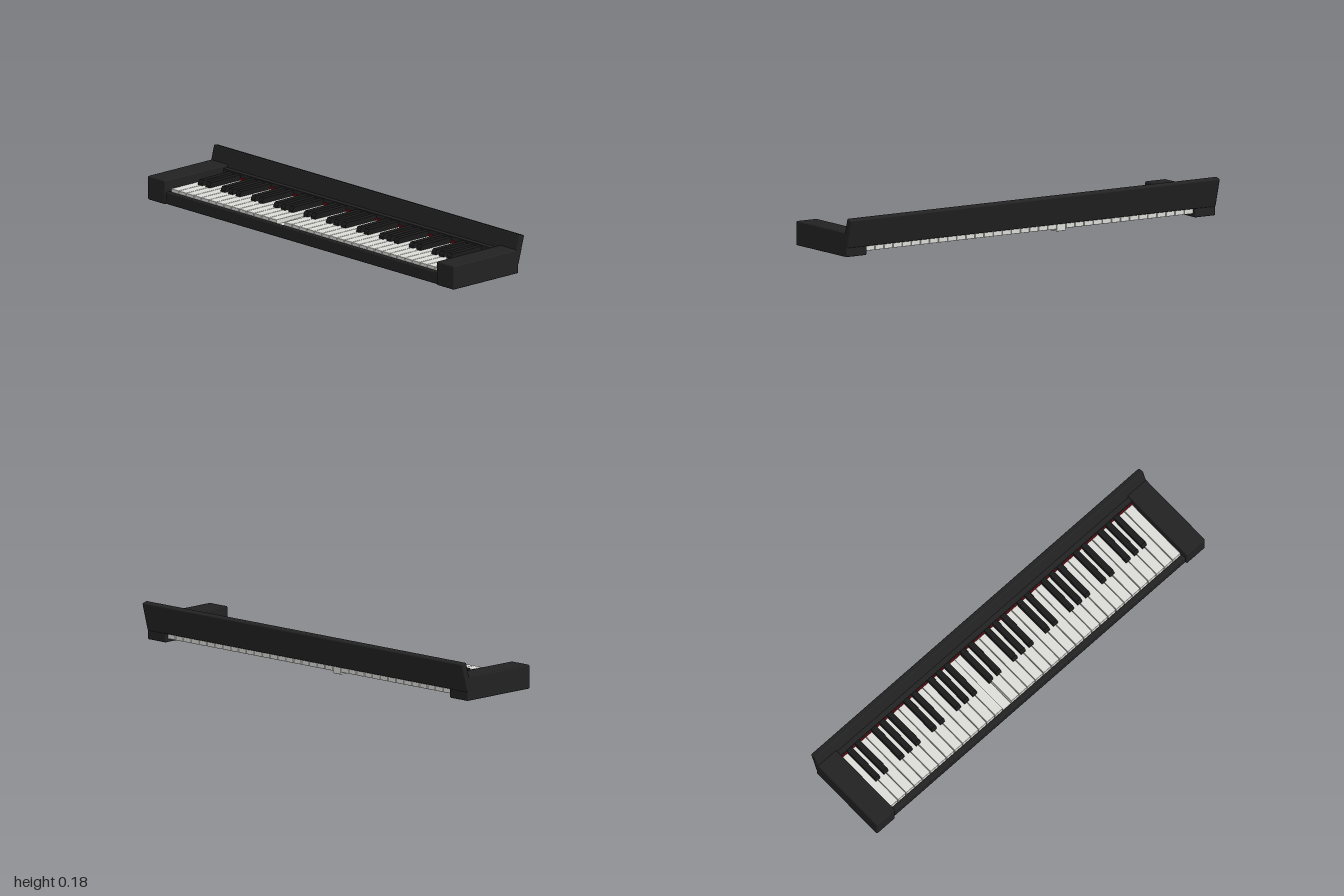
import * as THREE from 'three';
import { RoundedBoxGeometry } from 'three/addons/geometries/RoundedBoxGeometry.js';

const caseBlack = new THREE.MeshStandardMaterial({ name: 'case black', color: 0x222222 });
const keyBlack = new THREE.MeshStandardMaterial({ name: 'key black', color: 0x1a1a1a });
const keyWhite = new THREE.MeshStandardMaterial({ name: 'key white', color: 0xdcdcd8 });
const feltRed = new THREE.MeshStandardMaterial({ name: 'felt red', color: 0x7a0f18 });

// Rounded box given by its minimum and maximum corners
function block(parent, name, material, min, max, radius) {
  const size = max.map((v, i) => v - min[i]);
  const mesh = new THREE.Mesh(new RoundedBoxGeometry(...size, 2, radius), material);
  mesh.position.set(...max.map((v, i) => (v + min[i]) / 2));
  mesh.name = name;
  parent.add(mesh);
  return mesh;
}

// Black key: side profile with a sloping front, extruded across its width
function blackKeyGeometry() {
  const bevel = 0.002, width = 0.028;
  const profile = new THREE.Shape([
    [0.14, 0.062], [-0.048, 0.062], [-0.046, 0.082], [-0.038, 0.092], [0.14, 0.094],
  ].map(([z, y]) => new THREE.Vector2(z, y)));
  const geometry = new THREE.ExtrudeGeometry(profile, {
    depth: width - 2 * bevel, bevelThickness: bevel, bevelSize: bevel, bevelSegments: 2,
  });
  geometry.translate(0, 0, -width / 2 + bevel);
  geometry.rotateY(Math.PI / 2);
  return geometry;
}

export function createModel() {
  const model = new THREE.Group();
  model.name = 'pianoKeyboard';

  // Case: end blocks, front rail and leaning back panel
  for (const side of [-1, 1]) {
    const [a, b] = side < 0 ? [-1, -0.888] : [0.888, 1];
    block(model, side < 0 ? 'rightEndBlock' : 'leftEndBlock', caseBlack,
      [a, 0.003, -0.181], [b, 0.113, 0.217], 0.006);
  }
  block(model, 'frontRail', caseBlack, [-0.892, 0.003, 0.183], [0.892, 0.058, 0.208], 0.005);

  const panel = block(model, 'backPanel', caseBlack,
    [-1, 0.0445, -0.2005], [1, 0.1795, -0.1695], 0.006);
  panel.rotation.x = -THREE.MathUtils.degToRad(15);
  panel.position.set(0, 0.1115, -0.185);

  // Ledge behind the keys with its felt strip
  block(model, 'keyLedge', caseBlack, [-0.89, 0.079, -0.178], [0.89, 0.1, -0.141], 0.003);
  block(model, 'feltStrip', feltRed, [-0.89, 0.07, -0.168], [0.89, 0.08, -0.136], 0.002);

  // White keys: five octaves and a closing C, with one held down
  const keys = new THREE.Group();
  keys.name = 'keys';
  model.add(keys);
  const count = 36, left = -0.886, pitch = 1.772 / count, pressed = 14;
  const whiteGeometry = new RoundedBoxGeometry(pitch - 0.0025, 0.05, 0.35, 2, 0.002);
  whiteGeometry.translate(0, 0.045, 0.175);
  const blackGeometry = blackKeyGeometry();
  for (let i = 0; i < count; i++) {
    const white = new THREE.Mesh(whiteGeometry, keyWhite);
    white.name = i === pressed ? 'pressedWhiteKey' : 'whiteKey';
    white.position.set(left + (i + 0.5) * pitch, 0, -0.17);
    if (i === pressed) {
      white.position.y = -0.0108;
      white.rotation.x = THREE.MathUtils.degToRad(1.5);
    }
    keys.add(white);

    // Black keys follow C, D, F, G and A
    if (i < count - 1 && [0, 1, 3, 4, 5].includes(i % 7)) {
      const black = new THREE.Mesh(blackGeometry, keyBlack);
      black.name = 'blackKey';
      black.position.x = left + (i + 1) * pitch;
      keys.add(black);
    }
  }
  return model;
}
